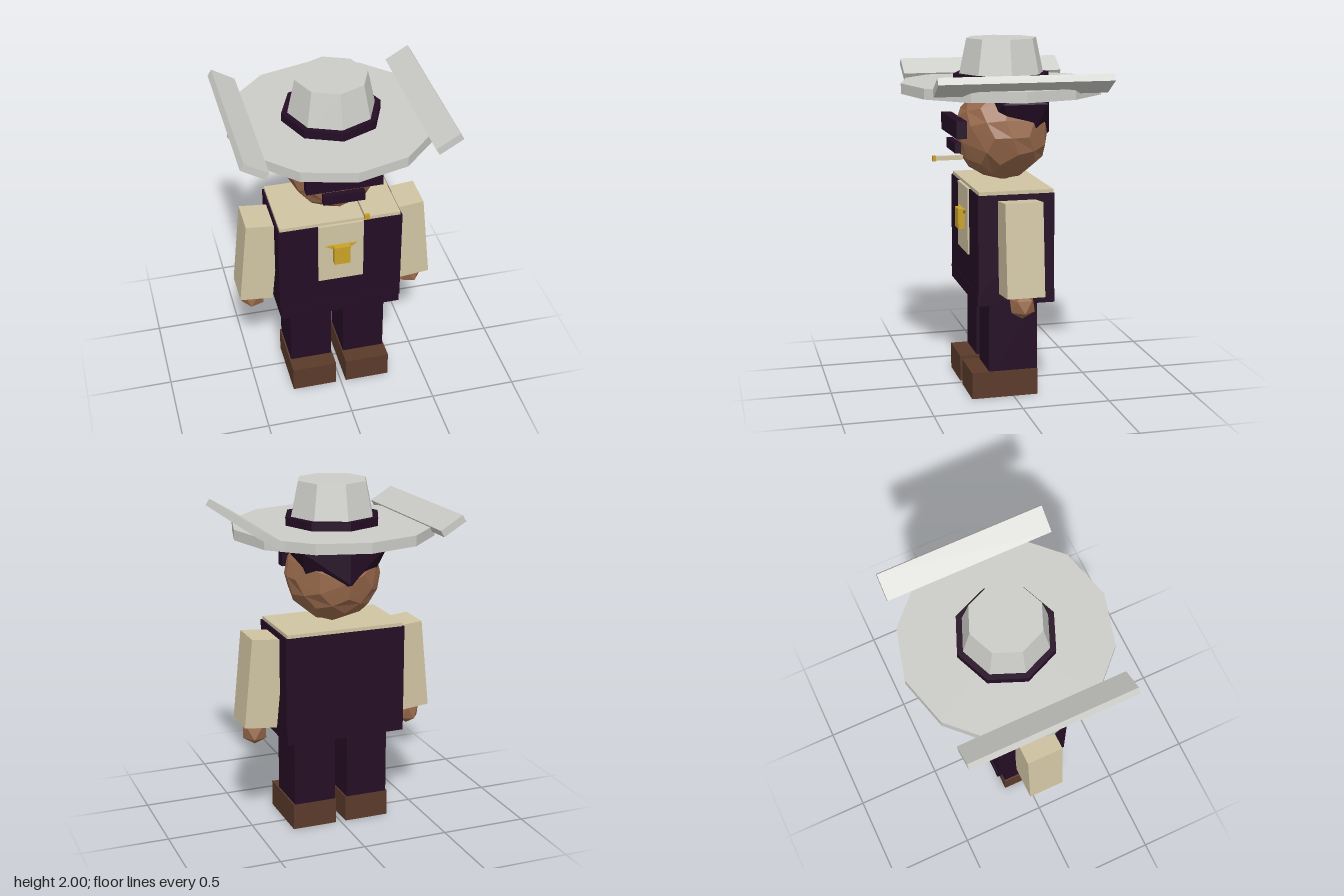
import * as THREE from 'three';

const mat = (name, color) => {
  const m = new THREE.MeshStandardMaterial({ color, flatShading: true });
  m.name = name;
  return m;
};

export function createModel() {
  const model = new THREE.Group();
  model.name = 'figure';
  const dark = mat('darkPlum', 0x240d24);
  const cream = mat('creamShirt', 0xd0c4a2);
  const skin = mat('skin', 0x98694b);
  const leather = mat('brownLeather', 0x5a3a2a);
  const gold = mat('gold', 0xc9a227);
  const felt = mat('greyFelt', 0xcccdc8);

  const add = (name, geometry, material, x = 0, y = 0, z = 0) => {
    const mesh = new THREE.Mesh(geometry, material);
    mesh.name = name;
    mesh.position.set(x, y, z);
    model.add(mesh);
    return mesh;
  };
  // Box given by its limits on each axis
  const box = (name, material, [x0, x1], [y0, y1], [z0, z1]) =>
    add(name, new THREE.BoxGeometry(x1 - x0, y1 - y0, z1 - z0), material,
      (x0 + x1) / 2, (y0 + y1) / 2, (z0 + z1) / 2);
  // Upright prism or frustum given by its bottom and top
  const prism = (name, material, rTop, rBottom, y0, y1, sides) =>
    add(name, new THREE.CylinderGeometry(rTop, rBottom, y1 - y0, sides), material, 0, (y0 + y1) / 2, 0);

  // Torso
  box('shirt', cream, [-0.345, 0.345], [0.7, 1.195], [-0.21, 0.21]);
  box('vest', dark, [-0.355, 0.355], [0.6, 1.175], [-0.213, 0.217]);
  box('hips', dark, [-0.35, 0.35], [0.555, 0.63], [-0.218, 0.22]);
  box('shirtFront', cream, [-0.13, 0.13], [0.8, 1.178], [0.2, 0.226]);

  // Badge
  box('badge', gold, [-0.046, 0.046], [0.93, 1.045], [0.22, 0.262]);
  const wings = new THREE.Shape([
    new THREE.Vector2(-0.09, 1.045), new THREE.Vector2(-0.045, 1.018),
    new THREE.Vector2(0.045, 1.018), new THREE.Vector2(0.09, 1.045),
  ]);
  add('badgeWings', new THREE.ExtrudeGeometry(wings, { depth: 0.015, bevelEnabled: false }), gold, 0, 0, 0.22);

  // Limbs, mirrored
  for (const s of [1, -1]) {
    const side = s > 0 ? 'left' : 'right';
    const span = (a, b) => (s > 0 ? [a, b] : [-b, -a]);
    box(side + 'Leg', dark, span(0.037, 0.283), [0.1, 0.57], [-0.138, 0.14]);
    box(side + 'Boot', leather, span(0.03, 0.292), [0, 0.152], [-0.14, 0.24]);
    const arm = add(side + 'Arm', new THREE.BoxGeometry(0.19, 0.515, 0.21), cream, s * 0.444, 0.894, 0);
    arm.rotation.z = s * 0.1;
    const hand = add(side + 'Hand', new THREE.IcosahedronGeometry(0.077), skin, s * 0.474, 0.585, 0);
    hand.rotation.z = s * 0.5536;
  }

  // Head
  add('head', new THREE.DodecahedronGeometry(0.27, 1), skin, 0, 1.47, 0);

  // Hair, levelled off inside the hat brim
  const hair = new THREE.IcosahedronGeometry(0.3).scale(1, 1.2, 0.8).translate(0, 1.65, -0.075);
  const p = hair.attributes.position;
  for (let i = 0; i < p.count; i++) p.setY(i, Math.min(p.getY(i), 1.74));
  hair.computeVertexNormals();
  add('hair', hair, dark);

  // Face
  box('glasses', dark, [-0.212, 0.212], [1.468, 1.566], [0.245, 0.303]);
  box('moustache', dark, [-0.116, 0.116], [1.375, 1.432], [0.258, 0.292]);
  box('cigar', cream, [0.083, 0.107], [1.337, 1.361], [0.245, 0.398]);
  box('cigarTip', gold, [0.081, 0.109], [1.334, 1.364], [0.398, 0.415]);

  // Hat
  prism('hatBrim', felt, 0.57, 0.57, 1.7, 1.758, 12);
  prism('hatBand', dark, 0.275, 0.275, 1.755, 1.805, 8);
  prism('hatCrown', felt, 0.2, 0.252, 1.757, 2, 8);
  for (const s of [1, -1]) {
    const flap = add(s > 0 ? 'leftBrimFlap' : 'rightBrimFlap',
      new THREE.BoxGeometry(0.15, 0.042, 0.95), felt, s * 0.513, 1.787, 0);
    flap.rotation.z = s * 0.54;
  }
  return model;
}
